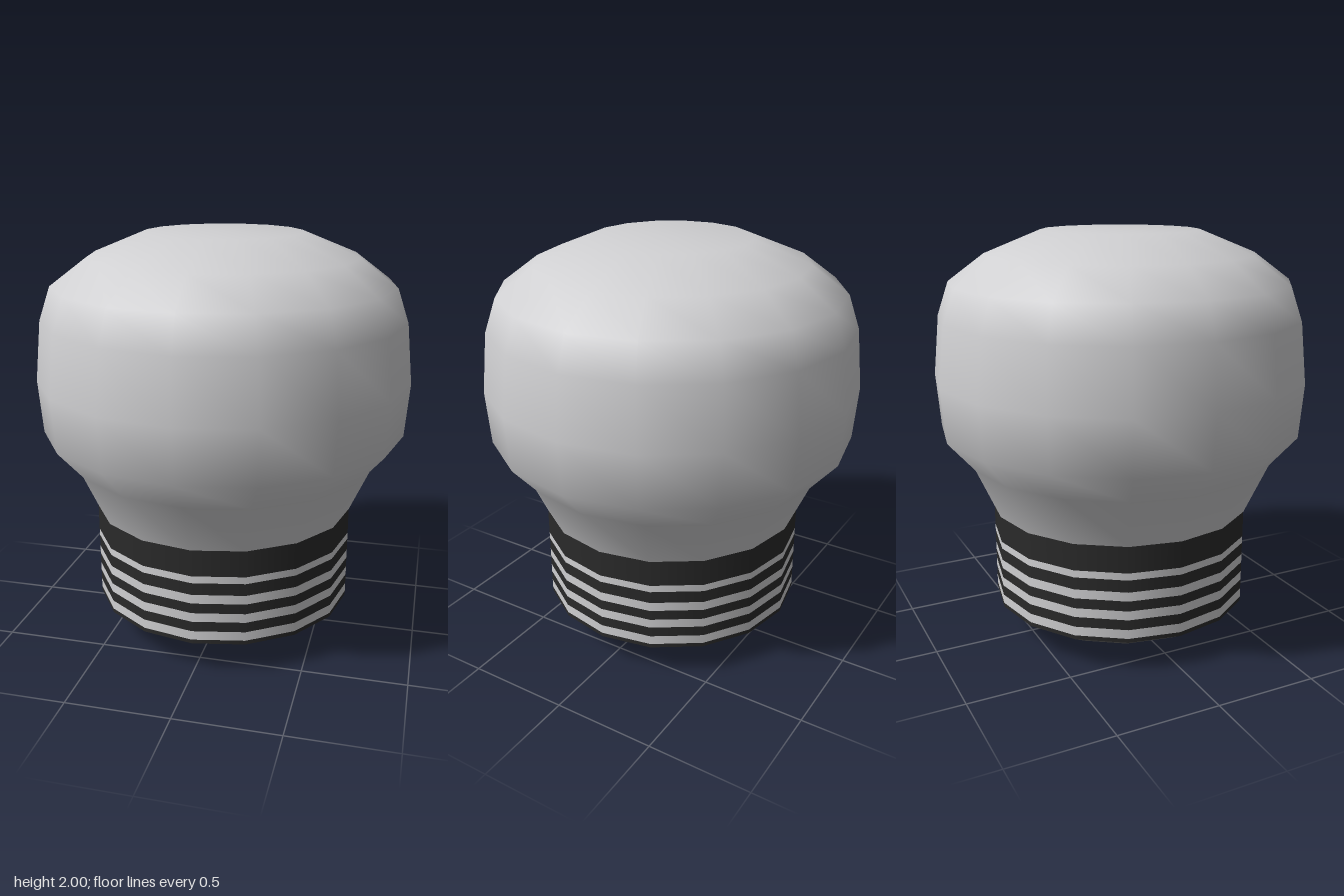
import * as THREE from 'three';

const SIDES = 16;

export function createModel() {
  const group = new THREE.Group();
  const mat = (name, color) => {
    const m = new THREE.MeshStandardMaterial({ color });
    m.name = name;
    return m;
  };
  const glass = mat('pale grey', 0xd0d0d2);
  const black = mat('black', 0x2a2a2a);
  const grey = mat('mid grey', 0x707070);

  // Revolves a profile (bottom to top) into a named 16-sided part
  const revolve = (name, profile, material) => {
    const points = profile.map(([r, y]) => new THREE.Vector2(r, y));
    const mesh = new THREE.Mesh(new THREE.LatheGeometry(points, SIDES), material);
    mesh.name = name;
    group.add(mesh);
  };

  // Rounded bulb with a flat crown
  revolve('bulb', [
    [0.645, 0.645], [0.76, 0.9], [0.89, 1.05], [0.91, 1.31], [0.88, 1.6],
    [0.825, 1.76], [0.65, 1.89], [0.38, 2], [0, 2],
  ], glass);

  // Striped screw collar, alternating dark and pale bands from the bottom up
  const edges = [0.165, 0.185, 0.23, 0.28, 0.325, 0.375, 0.42, 0.48, 0.515, 0.645];
  for (let i = 0; i < edges.length - 1; i++) {
    const dark = i % 2 === 0;
    revolve(dark ? 'darkBand' : 'paleBand',
      [[0.645, edges[i]], [0.645, edges[i + 1]]], dark ? black : glass);
  }

  // Shallow pointed contact underneath
  revolve('baseContact', [[0, 0], [0.51, 0.085], [0.645, 0.165]], grey);

  return group;
}
